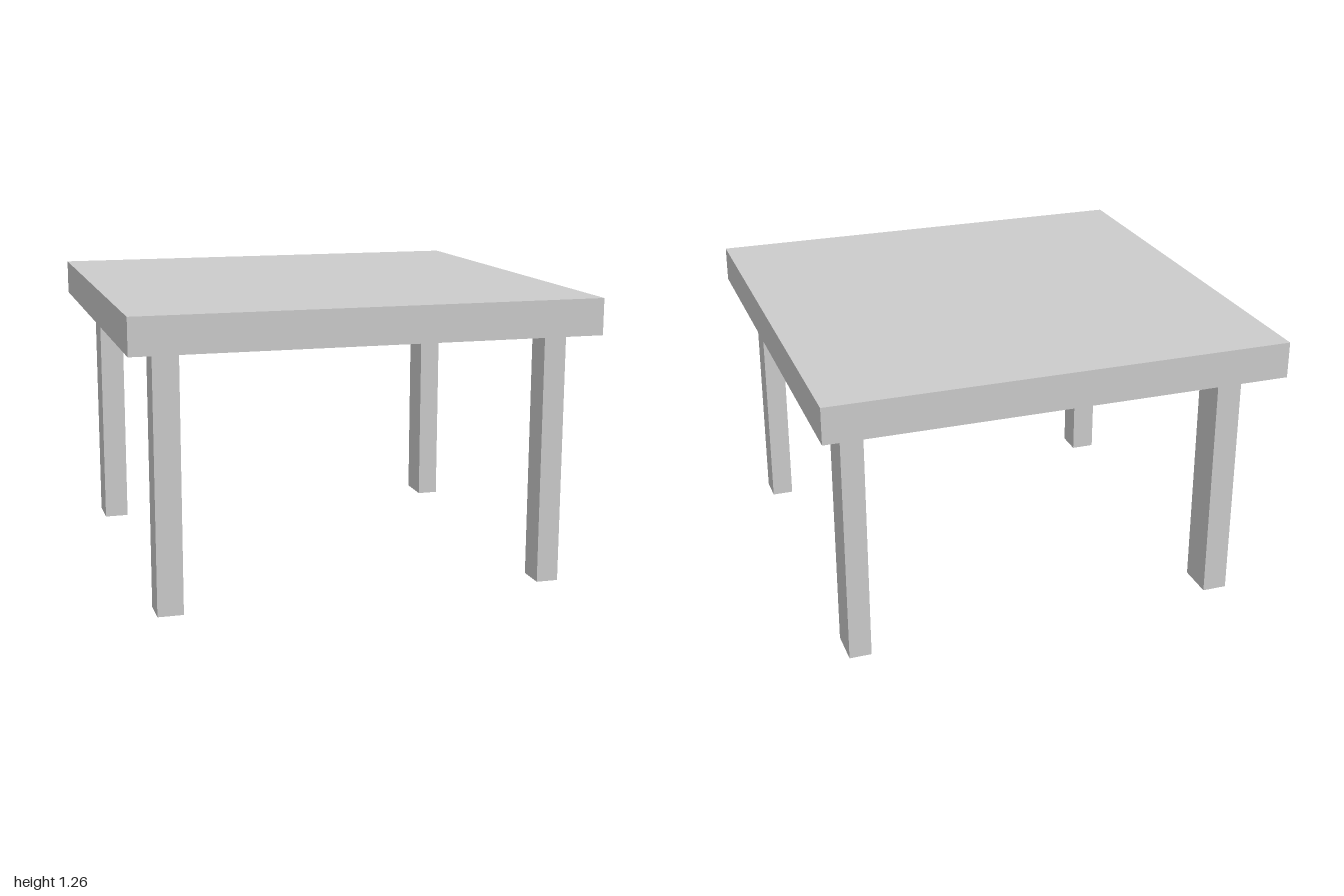
import * as THREE from 'three';

const LEG_HEIGHT = 1.105;
const TOP_HEIGHT = 1.262;

export function createModel() {
  const table = new THREE.Group();
  table.name = 'table';
  const material = new THREE.MeshStandardMaterial({ color: 0xcccccc, flatShading: true });

  // Box given by its extents along each axis
  function addBox(name, [x0, x1], [y0, y1], [z0, z1]) {
    const mesh = new THREE.Mesh(new THREE.BoxGeometry(x1 - x0, y1 - y0, z1 - z0), material);
    mesh.name = name;
    mesh.position.set((x0 + x1) / 2, (y0 + y1) / 2, (z0 + z1) / 2);
    table.add(mesh);
  }

  // Square slab top
  addBox('tableTop', [-1, 1], [LEG_HEIGHT, TOP_HEIGHT], [-1, 1]);

  // Four legs: the rear pair is deeper, the right pair slightly wider
  const sides = { Left: [0.793, 0.89], Right: [-0.888, -0.778] };
  const rows = { front: [0.75, 0.878], back: [-0.82, -0.652] };
  for (const [row, z] of Object.entries(rows)) {
    for (const [side, x] of Object.entries(sides)) {
      addBox(`${row}${side}Leg`, x, [0, LEG_HEIGHT], z);
    }
  }

  return table;
}
